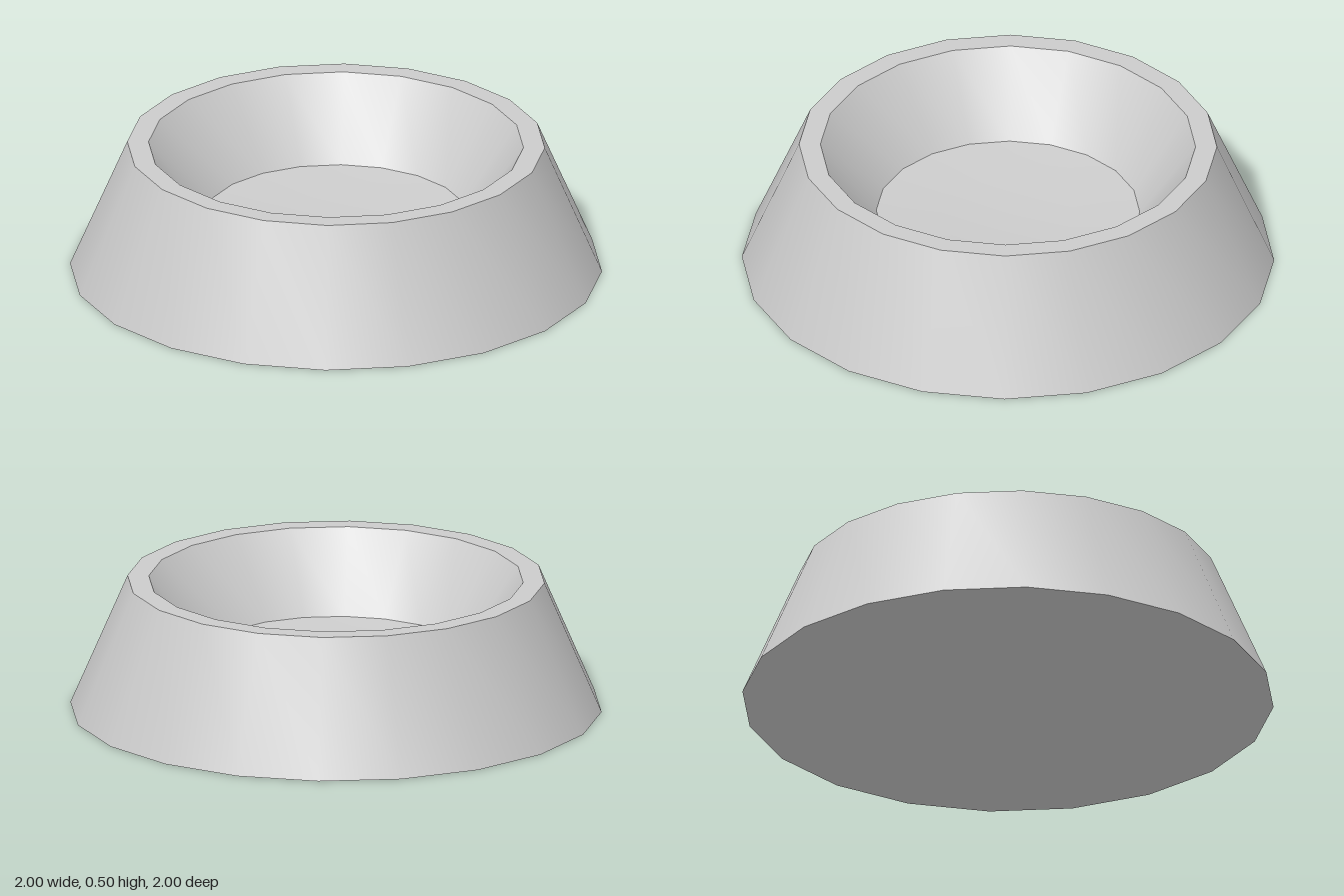
import * as THREE from 'three';
import { toCreasedNormals } from 'three/addons/utils/BufferGeometryUtils.js';

const SIDES = 20;

export function createModel() {
  const model = new THREE.Group();
  model.name = 'bowl';
  const material = new THREE.MeshStandardMaterial({ color: 0xcccccc });

  // Closed half-section: base, sloped outer wall, flat rim, inner wall, slightly dished floor
  const profile = [
    [0, 0], [1, 0], [0.785, 0.5], [0.705, 0.5], [0.495, 0.21], [0.25, 0.19], [0, 0.183],
  ].map(([r, y]) => new THREE.Vector2(r, y));

  // Smooth around the walls, sharp at the rim, base and floor edges
  const geometry = toCreasedNormals(new THREE.LatheGeometry(profile, SIDES), 0.6);
  const body = new THREE.Mesh(geometry, material);
  body.name = 'bowlBody';
  model.add(body);
  return model;
}
